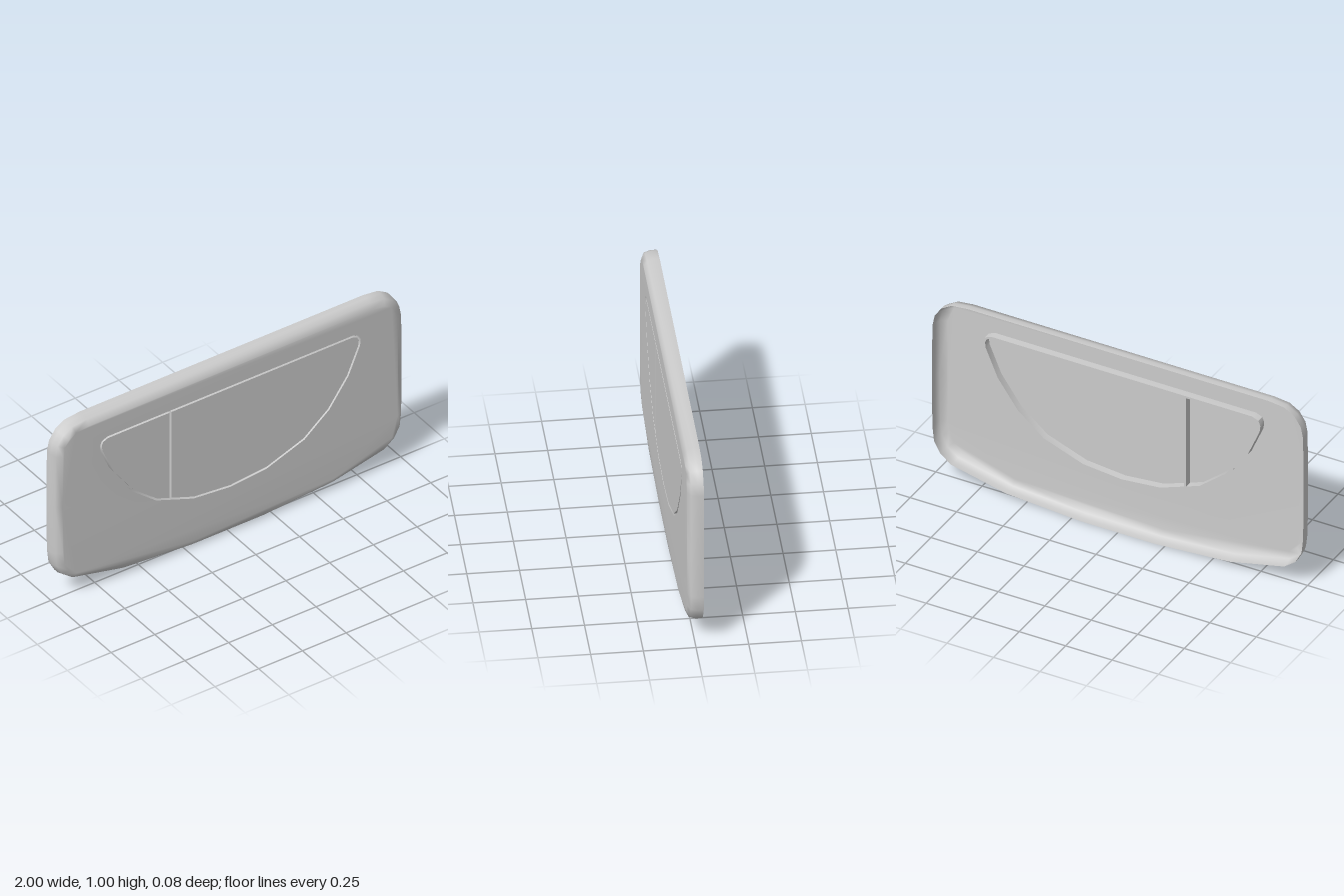
import * as THREE from 'three';
import { mergeVertices, mergeGeometries, toCreasedNormals } from 'three/addons/utils/BufferGeometryUtils.js';

const FACE_Z = 0.038, BACK_Z = -0.038, GROOVE_Z = 0.0;
const GAP = 0.011, SPLIT_X = -0.341;

const material = new THREE.MeshStandardMaterial({ color: 0xcccccc, side: THREE.DoubleSide });

// Right half, bottom to top, mirrored into a counter-clockwise loop
function mirrorLoop(half) {
  const right = half.map(([x, y]) => new THREE.Vector2(x, y));
  const left = right.filter(p => p.x > 0).map(p => new THREE.Vector2(-p.x, p.y)).reverse();
  return [...right, ...left];
}

// Move every edge of a counter-clockwise loop inwards by d
function inset(loop, d) {
  const n = loop.length;
  const normal = (a, b) => new THREE.Vector2(a.y - b.y, b.x - a.x).normalize();
  return loop.map((p, i) => {
    const n1 = normal(loop[(i + n - 1) % n], p), n2 = normal(p, loop[(i + 1) % n]);
    return p.clone().addScaledVector(n1.clone().add(n2), d / (1 + n1.dot(n2)));
  });
}

// Keep the part of a loop where side * (p.x - x) >= 0
function clipX(loop, x, side) {
  const out = [];
  loop.forEach((p, i) => {
    const q = loop[(i + 1) % loop.length];
    const a = side * (p.x - x), b = side * (q.x - x);
    if (a >= 0) out.push(p.clone());
    if (a * b < 0) out.push(p.clone().lerp(q, a / (a - b)));
  });
  return out;
}

// Strip of quads through a list of { loop, z } rings, back to front
function skin(rings) {
  const pos = [], idx = [], n = rings[0].loop.length;
  rings.forEach(({ loop, z }) => loop.forEach(p => pos.push(p.x, p.y, z)));
  for (let r = 0; r < rings.length - 1; r++) {
    for (let i = 0; i < n; i++) {
      const j = (i + 1) % n, a = r * n + i, b = r * n + j;
      idx.push(a, b, b + n, a, b + n, a + n);
    }
  }
  const g = new THREE.BufferGeometry();
  g.setAttribute('position', new THREE.Float32BufferAttribute(pos, 3));
  g.setIndex(idx);
  return g;
}

// Flat sheet bounded by a loop, with holes
function sheet(loop, holes, z) {
  const shape = new THREE.Shape(loop);
  shape.holes = holes.map(h => new THREE.Path(h));
  const g = new THREE.ShapeGeometry(shape).translate(0, 0, z);
  g.deleteAttribute('uv');
  g.deleteAttribute('normal');
  return g;
}

function wall(loop) {
  return toCreasedNormals(skin([{ loop, z: GROOVE_Z }, { loop, z: FACE_Z }]), 0.6);
}

function add(parent, name, geometry) {
  if (!geometry.attributes.normal) geometry.computeVertexNormals();
  const mesh = new THREE.Mesh(geometry, material);
  mesh.name = name;
  parent.add(mesh);
}

export function createModel() {
  const model = new THREE.Group();
  model.name = 'flushPlate';

  const outline = mirrorLoop([
    [0.2, 0], [0.6, 0.028], [0.895, 0.095], [0.955, 0.14], [0.988, 0.2], [0.997, 0.28],
    [1, 0.55], [0.997, 0.85], [0.985, 0.91], [0.95, 0.962], [0.895, 0.995], [0.81, 1.005],
  ]);
  const opening = mirrorLoop([
    [0, 0.268], [0.21, 0.288], [0.425, 0.367], [0.567, 0.483], [0.677, 0.635], [0.742, 0.785],
    [0.746, 0.82], [0.735, 0.846], [0.702, 0.86],
  ]);

  // Open-backed plate: rounded rim joined smoothly to the pierced face
  const lip = inset(outline, 0.04);
  const rim = skin([
    { loop: outline, z: BACK_Z },
    { loop: outline, z: -0.01 },
    { loop: inset(outline, 0.009), z: 0.022 },
    { loop: lip, z: FACE_Z },
  ]);
  const plate = mergeVertices(mergeGeometries([rim, sheet(lip, [opening], FACE_Z)]), 1e-4);
  add(model, 'plate', plate);

  // Two buttons, separated from the plate and each other by a narrow groove
  const inner = inset(opening, GAP);
  const buttons = {
    smallButton: clipX(inner, SPLIT_X - GAP / 2, -1),
    largeButton: clipX(inner, SPLIT_X + GAP / 2, 1),
  };
  for (const [name, loop] of Object.entries(buttons)) {
    const group = new THREE.Group();
    group.name = name;
    add(group, name + 'Face', sheet(loop, [], FACE_Z));
    add(group, name + 'Edge', wall(loop));
    model.add(group);
  }

  // Groove behind the gaps, standing out as a ridge at the back
  add(model, 'grooveOuterWall', wall([...opening].reverse()));
  add(model, 'grooveFloor', sheet(opening, Object.values(buttons), GROOVE_Z));

  return model;
}
